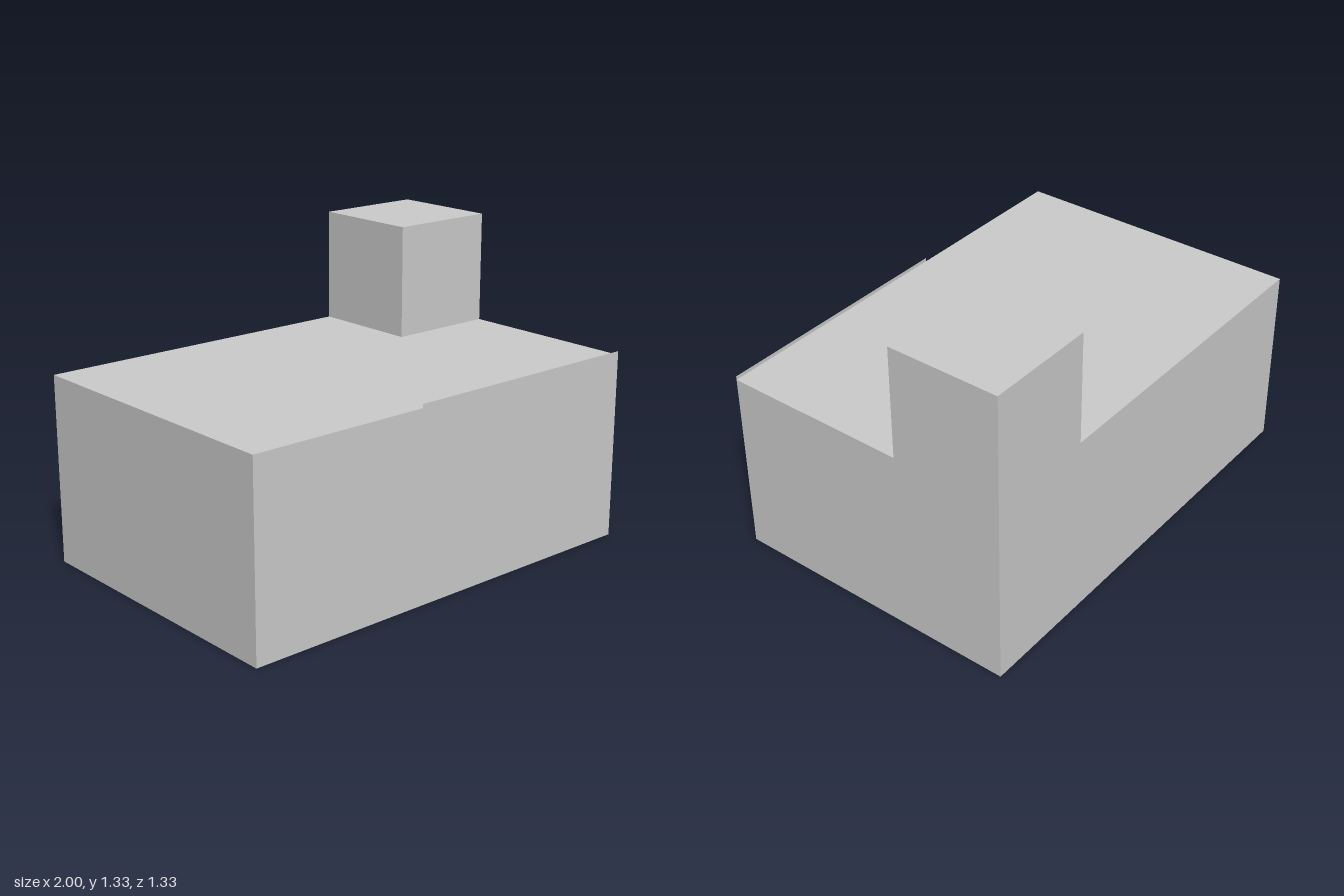
import * as THREE from 'three';

export function createModel() {
  const model = new THREE.Group();
  const material = new THREE.MeshStandardMaterial({ color: 0xcccccc, flatShading: true });

  const addPart = (name, geometry, x, y, z, mat = material) => {
    const mesh = new THREE.Mesh(geometry, mat);
    mesh.name = name;
    mesh.position.set(x, y, z);
    model.add(mesh);
  };

  const width = 2, depth = 4 / 3, baseHeight = 5 / 6, towerSize = 0.5;

  // Main block
  addPart('base', new THREE.BoxGeometry(width, baseHeight, depth), 0, baseHeight / 2, 0);

  // Cube on the back left corner, flush with the outer walls
  addPart('cornerTower', new THREE.BoxGeometry(towerSize, towerSize, towerSize),
    (width - towerSize) / 2, baseHeight + towerSize / 2, (towerSize - depth) / 2);

  // Paper-thin lip standing on the front edge
  const lipWidth = 7 / 6, lipHeight = 1 / 60;
  const thin = material.clone();
  thin.side = THREE.DoubleSide;
  addPart('frontLip', new THREE.PlaneGeometry(lipWidth, lipHeight),
    (width - lipWidth) / 2, baseHeight + lipHeight / 2, depth / 2, thin);

  return model;
}
